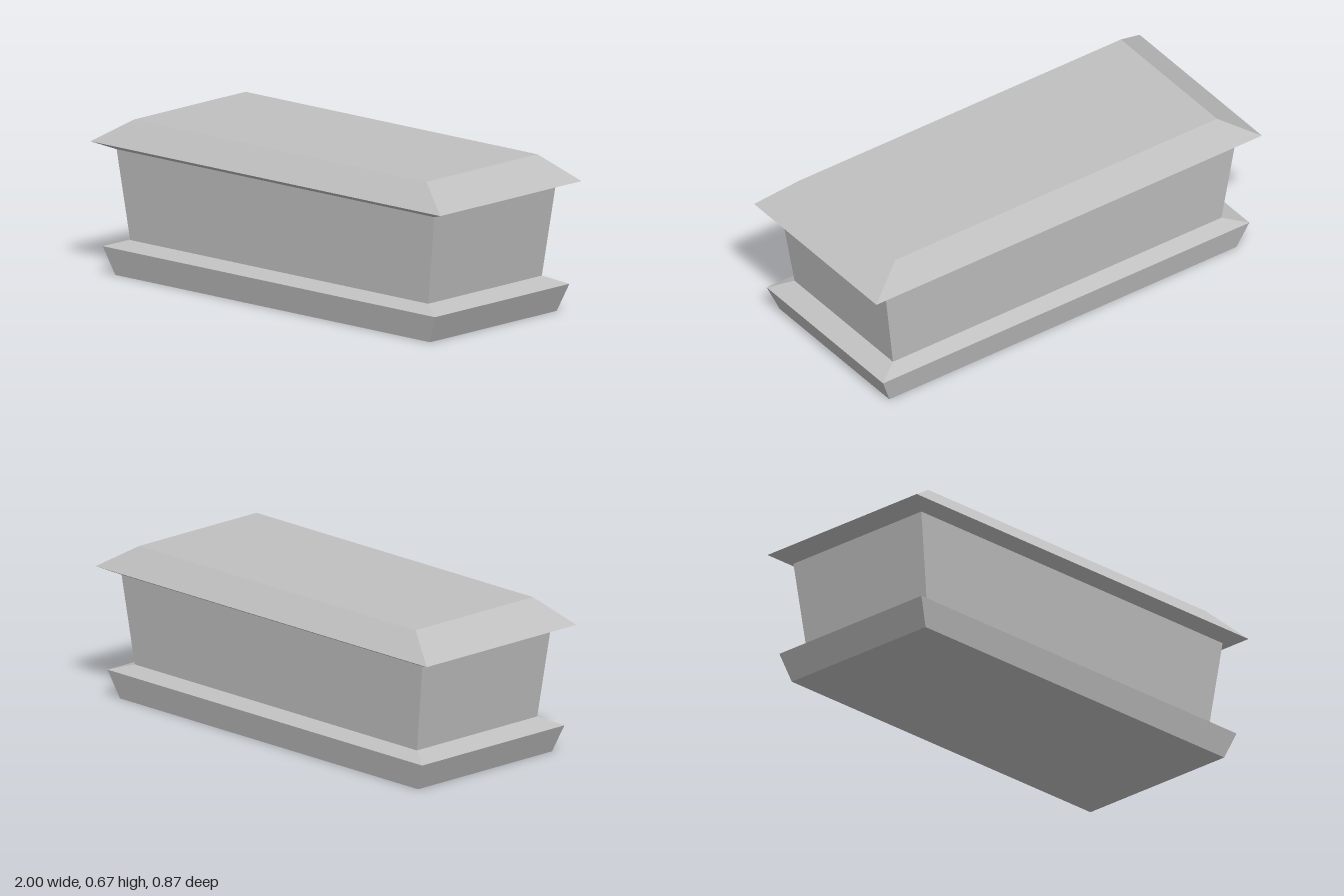
import * as THREE from 'three';

// Lofts rectangular sections [y, halfX, halfZ] from bottom to top.
function loft(sections, capBottom, capTop) {
  const pos = [];
  const ring = ([y, x, z]) => [[-x, y, z], [x, y, z], [x, y, -z], [-x, y, -z]];
  const quad = (a, b, c, d) => pos.push(...a, ...b, ...c, ...a, ...c, ...d);
  for (let i = 0; i < sections.length - 1; i++) {
    const lo = ring(sections[i]);
    const hi = ring(sections[i + 1]);
    for (let k = 0; k < 4; k++) {
      const n = (k + 1) % 4;
      quad(lo[k], lo[n], hi[n], hi[k]);
    }
  }
  if (capBottom) quad(...ring(sections[0]).reverse());
  if (capTop) quad(...ring(sections[sections.length - 1]));
  const geometry = new THREE.BufferGeometry();
  geometry.setAttribute('position', new THREE.Float32BufferAttribute(pos, 3));
  geometry.computeVertexNormals();
  return geometry;
}

export function createModel() {
  const group = new THREE.Group();
  group.name = 'stoneChest';
  const stone = new THREE.MeshStandardMaterial({ color: 0xc0c0c0 });
  stone.name = 'greyStone';

  const add = (name, geometry) => {
    const mesh = new THREE.Mesh(geometry, stone);
    mesh.name = name;
    group.add(mesh);
  };

  // Flared plinth with a sloping shoulder
  add('plinth', loft([[0, 0.9, 0.39], [0.12, 0.95, 0.414], [0.151, 0.852, 0.35]], true, false));
  // Body, widening upward
  add('body', loft([[0.151, 0.852, 0.35], [0.537, 0.908, 0.373]], false, false));
  // Overhanging lid with chamfered top
  add('lid', loft([[0.537, 0.908, 0.373], [0.567, 1, 0.435], [0.672, 0.835, 0.342]], false, true));

  return group;
}
